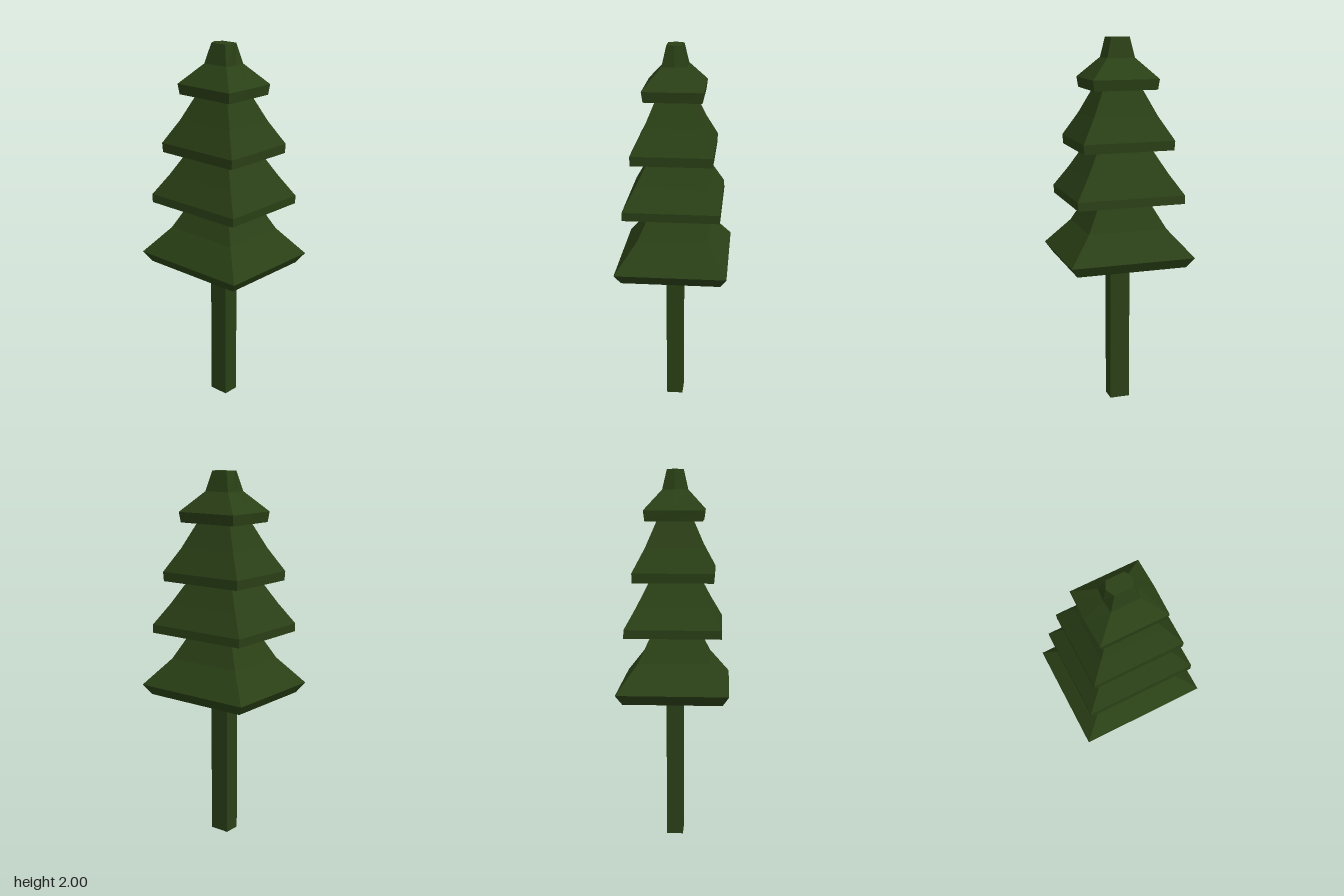
import * as THREE from 'three';

// Closed loft through six-sided rings; each ring is [y, halfX, halfZ, cornerZ = halfZ]
function loft(rings) {
  const loops = rings.map(([y, x, z, c = z]) => [
    [x, y, c], [0, y, z], [-x, y, c], [-x, y, -c], [0, y, -z], [x, y, -c],
  ]);
  const pos = [];
  const tri = (...points) => points.forEach((p) => pos.push(...p));
  for (let i = 0; i < loops.length - 1; i++) {
    const lo = loops[i], hi = loops[i + 1];
    for (let j = 0; j < 6; j++) {
      const k = (j + 1) % 6;
      tri(lo[k], lo[j], hi[j]);
      tri(lo[k], hi[j], hi[k]);
    }
  }
  const first = loops[0], last = loops[loops.length - 1];
  for (let j = 1; j < 5; j++) {
    tri(first[0], first[j], first[j + 1]);
    tri(last[0], last[j + 1], last[j]);
  }
  const geometry = new THREE.BufferGeometry();
  geometry.setAttribute('position', new THREE.Float32BufferAttribute(pos, 3));
  geometry.computeVertexNormals();
  return geometry;
}

export function createModel() {
  const group = new THREE.Group();
  const green = new THREE.MeshStandardMaterial({ color: 0x2a4016, flatShading: true });
  const add = (name, geometry) => {
    const mesh = new THREE.Mesh(geometry, green);
    mesh.name = name;
    group.add(mesh);
    return mesh;
  };

  // Square-cut trunk
  add('trunk', new THREE.BoxGeometry(0.09, 0.8, 0.11)).position.y = 0.4;

  // Four flared tiers of foliage, from the bottom up
  const tiers = {
    bottomTier: [[0.8, 0.26, 0.3], [0.855, 0.293, 0.338], [1.0, 0.185, 0.215], [1.13, 0.125, 0.145]],
    lowerMiddleTier: [[1.125, 0.13, 0.15], [1.145, 0.252, 0.29], [1.19, 0.25, 0.292],
      [1.3, 0.19, 0.22], [1.43, 0.125, 0.145]],
    upperMiddleTier: [[1.425, 0.21, 0.244], [1.475, 0.212, 0.247], [1.6, 0.148, 0.173], [1.74, 0.09, 0.105]],
    topTier: [[1.735, 0.15, 0.174, 0.172], [1.79, 0.157, 0.183, 0.179],
      [1.895, 0.065, 0.083, 0.075], [2.0, 0.042, 0.068, 0.047]],
  };
  for (const [name, rings] of Object.entries(tiers)) add(name, loft(rings));

  return group;
}
